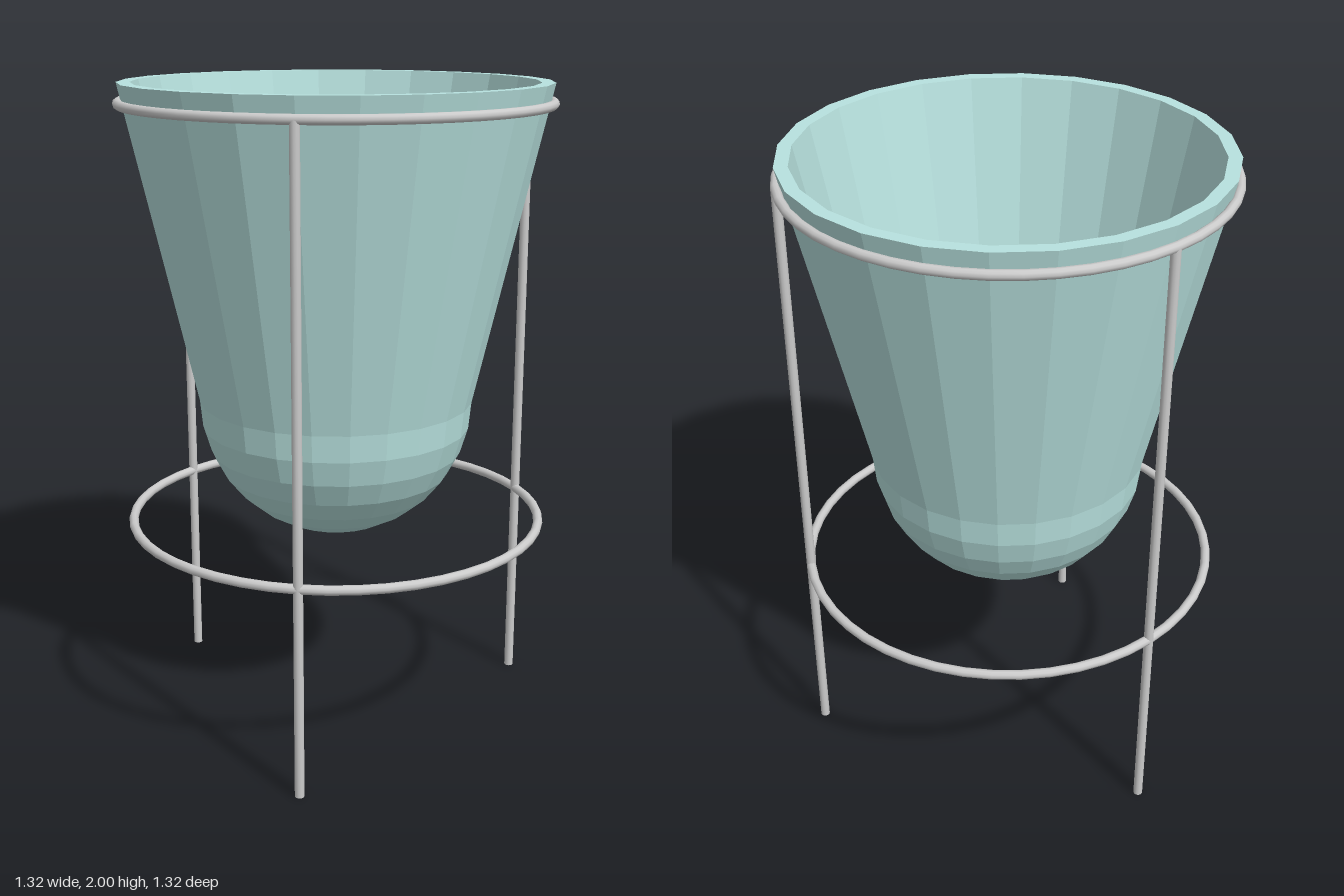
import * as THREE from 'three';

const SIDES = 24;
const RING_RADIUS = 0.643;
const ROD = 0.0145;

export function createModel() {
  const model = new THREE.Group();
  model.name = 'planterOnStand';
  const potMaterial = new THREE.MeshStandardMaterial({ color: 0xb8e2df, flatShading: true });
  const metal = new THREE.MeshStandardMaterial({ color: 0xcccccc });

  const add = (parent, name, geometry, material, x = 0, y = 0, z = 0) => {
    const mesh = new THREE.Mesh(geometry, material);
    mesh.name = name;
    mesh.position.set(x, y, z);
    parent.add(mesh);
    return mesh;
  };

  // Pot: round base, tapered wall, flat rim, inner wall and flat floor
  const profile = [];
  for (let i = 0; i <= 8; i++) {
    const a = (i / 8) * Math.PI / 2;
    profile.push(new THREE.Vector2(0.425 * Math.sin(a), 1.03 - 0.425 * Math.cos(a)));
  }
  profile.push(
    new THREE.Vector2(0.645, 2),
    new THREE.Vector2(0.605, 2),
    new THREE.Vector2(0.41, 1.05),
    new THREE.Vector2(0, 1.05)
  );
  add(model, 'pot', new THREE.LatheGeometry(profile, SIDES), potMaterial);

  // Stand: two hoops joined by three thin legs
  const stand = new THREE.Group();
  stand.name = 'stand';
  model.add(stand);
  for (const [name, y] of [['lowerHoop', 0.65], ['upperHoop', 1.94]]) {
    const hoop = new THREE.TorusGeometry(RING_RADIUS, ROD, 10, 48).rotateX(Math.PI / 2);
    add(stand, name, hoop, metal, 0, y, 0);
  }
  const legHeight = 1.94;
  for (let i = 0; i < 3; i++) {
    const a = (i / 3) * Math.PI * 2;
    add(stand, `leg${i + 1}`, new THREE.CylinderGeometry(ROD, ROD, legHeight, 12), metal,
      RING_RADIUS * Math.cos(a), legHeight / 2, RING_RADIUS * Math.sin(a));
  }
  return model;
}
